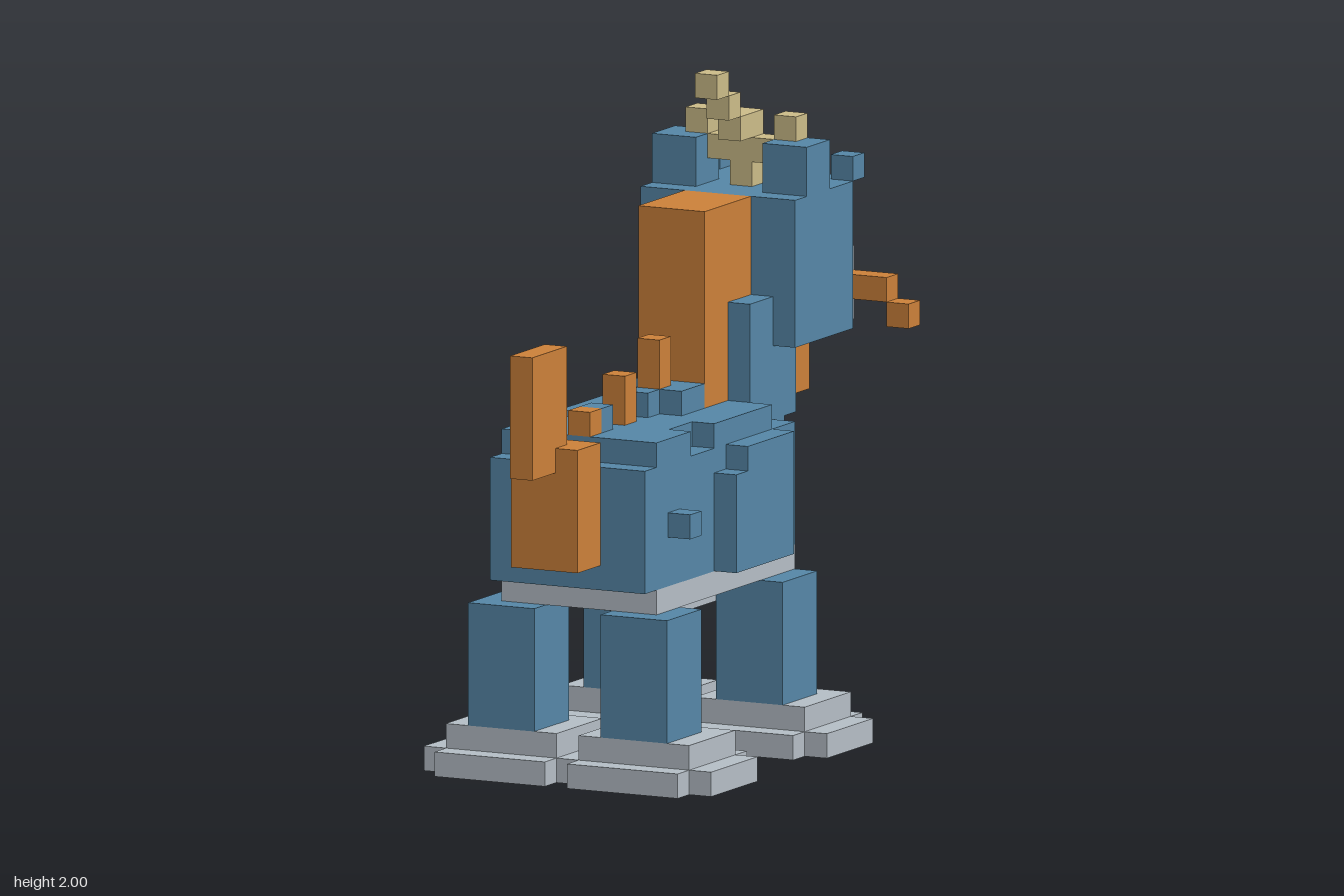
import * as THREE from 'three';

const U = 2 / 27; // edge of one block

const mat = (name, color) => {
  const m = new THREE.MeshStandardMaterial({ color });
  m.name = name;
  return m;
};

export function createModel() {
  const blue = mat('blue', 0x5586a6);
  const orange = mat('orange', 0xcb8039);
  const grey = mat('grey', 0xb4bdc5);
  const gold = mat('gold', 0xcbbb88);
  const dark = mat('dark sole', 0x20152a);
  const model = new THREE.Group();
  model.name = 'blockCreature';

  // Box from its corner ranges, in blocks
  const box = (name, m, x0, x1, y0, y1, z0, z1) => {
    const mesh = new THREE.Mesh(
      new THREE.BoxGeometry((x1 - x0) * U, (y1 - y0) * U, (z1 - z0) * U), m);
    mesh.position.set((x0 + x1) / 2 * U, (y0 + y1) / 2 * U, (z0 + z1) / 2 * U);
    mesh.name = name;
    model.add(mesh);
  };
  // Box centred on x, given its half width
  const mid = (name, m, w, ...r) => box(name, m, -w, w, ...r);
  // Same box on both sides
  const pair = (name, m, x0, x1, ...r) => {
    box(name + 'Left', m, x0, x1, ...r);
    box(name + 'Right', m, -x1, -x0, ...r);
  };

  // Legs and stepped feet, dark soles
  for (const [end, z] of [['front', -6.5], ['hind', 3.5]]) {
    pair(end + 'Sole', dark, 0.5, 5.5, 0, 1, z + 1, z + 5);
    pair(end + 'FootOuter', grey, 5.5, 6.5, 0, 1, z + 1, z + 5);
    mid(end + 'FootBridge', grey, 0.5, 0, 1, z + 1, z + 5);
    pair(end + 'Toe', grey, 0.5, 5.5, 0, 1, z, z + 1);
    pair(end + 'Heel', grey, 0.5, 5.5, 0, 1, z + 5, z + 6);
    pair(end + 'FootTop', grey, 0.5, 5.5, 1, 2, z + 1, z + 5);
    pair(end + 'Leg', blue, 1.5, 4.5, 2, 7, z + 2, z + 5);
  }

  // Belly
  mid('belly', grey, 3.5, 7, 8, -4.5, 7.5);
  mid('bellyLow', grey, 1.5, 6, 7, -2.5, 2.5);

  // Body, shoulders and back
  mid('body', blue, 3.5, 8, 13, -4.5, 8.5);
  mid('backTop', blue, 2.5, 13, 14, -2.5, 7.5);
  pair('shoulderTop', blue, 2.5, 3.5, 13, 14, -2.5, 2.5);
  pair('rumpTop', blue, 2.5, 3.5, 13, 14, 4.5, 7.5);
  pair('shoulder', blue, 3.5, 4.5, 8, 12, -2.5, 2.5);
  pair('shoulderUpper', blue, 3.5, 4.5, 12, 13, -2.5, 1.5);
  pair('hipKnob', blue, 3.5, 4.5, 10, 11, 5.5, 6.5);
  mid('chest', blue, 2.5, 10, 13, -5.5, -4.5);
  mid('withers', blue, 1.5, 14, 15, -0.5, 1.5);
  mid('withersEnd', blue, 0.5, 14, 15, 1.5, 2.5);
  mid('rumpRidge', blue, 0.5, 14, 15, 5.5, 6.5);

  // Mane, back tufts and tail
  mid('mane', orange, 1.5, 14, 22, -4.5, -0.5);
  mid('frontTuft', orange, 0.5, 15, 17, 0.5, 1.5);
  mid('middleTuft', orange, 0.5, 14, 16, 3.5, 4.5);
  mid('rearTuft', orange, 0.5, 14, 15, 6.5, 7.5);
  mid('tailBase', orange, 1.5, 9, 14, 8.5, 10.5);
  mid('tailTip', orange, 0.5, 13, 18, 9.5, 12.5);

  // Neck and head
  mid('neck', blue, 2.5, 13, 18, -6.5, -2.5);
  mid('head', blue, 3.5, 16, 22, -9.5, -4.5);
  pair('ear', blue, 1.5, 3.5, 22, 24, -7.5, -5.5);
  pair('browInner', blue, 1.5, 2.5, 21, 22, -10.5, -9.5);
  pair('browOuter', blue, 2.5, 3.5, 22, 23, -10.5, -9.5);

  // Face, whiskers and beard
  mid('face', grey, 2.5, 16, 20, -10.5, -9.5);
  pair('faceTop', grey, 0.5, 2.5, 20, 21, -10.5, -9.5);
  mid('muzzle', grey, 2.5, 16, 19, -11.5, -10.5);
  pair('nostril', blue, 0.5, 1.5, 17, 18, -12.5, -11.5);
  pair('whisker', orange, 2.5, 4.5, 17, 18, -11.5, -10.5);
  pair('whiskerTip', orange, 4.5, 5.5, 16, 17, -11.5, -10.5);
  mid('beard', orange, 0.5, 13, 16, -11.5, -9.5);

  // Crest with a horn sweeping back
  mid('crestStem', gold, 0.5, 22, 25, -7.5, -6.5);
  pair('crestBar', gold, 0.5, 1.5, 23, 24, -7.5, -6.5);
  pair('crestPoint', gold, 1.5, 2.5, 24, 25, -7.5, -6.5);
  for (let i = 0; i < 3; i++)
    mid('horn' + (i + 1), gold, 0.5, 24 + i, 25 + i, -6.5 + i, -5.5 + i);

  return model;
}
